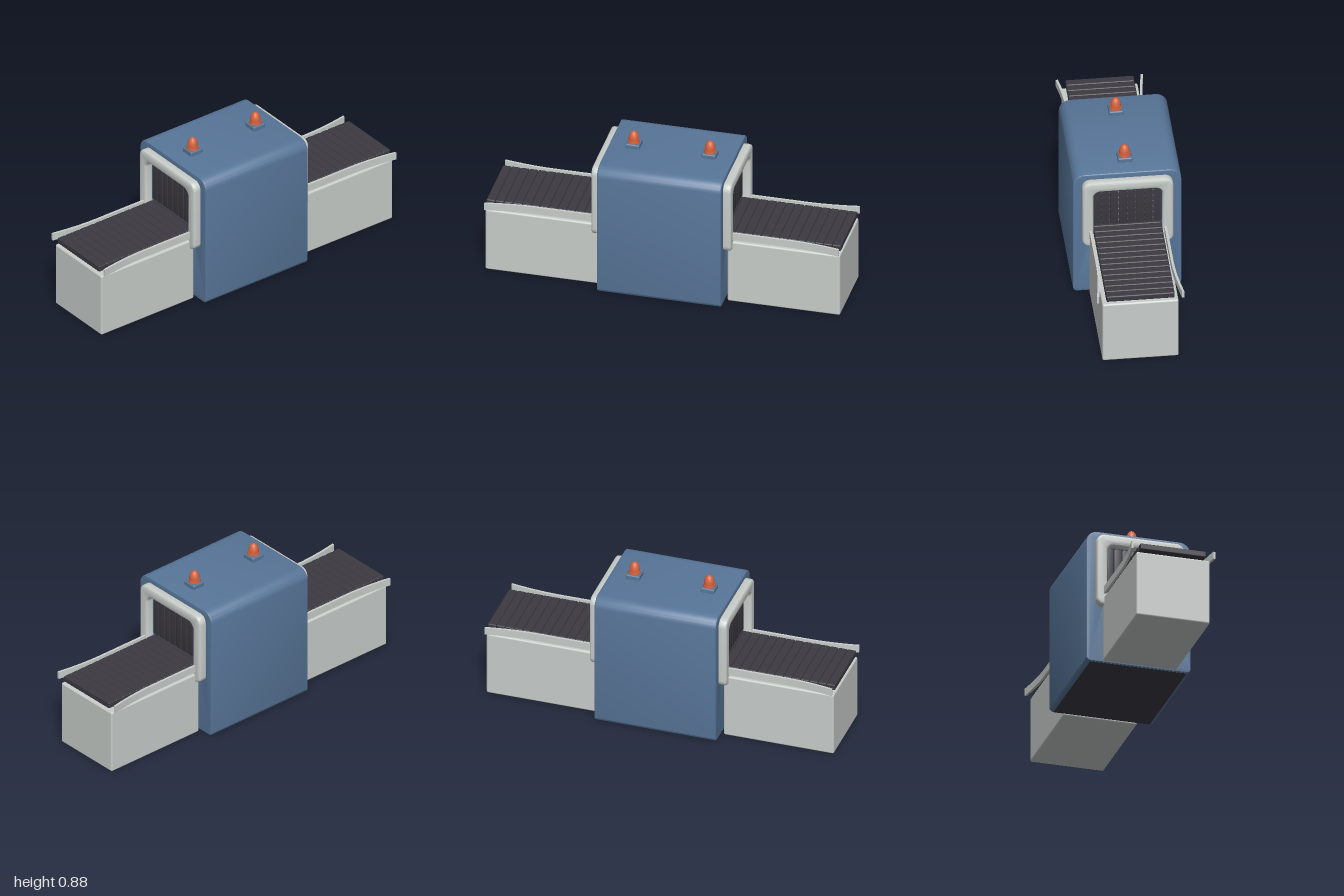
import * as THREE from 'three';
import { toCreasedNormals } from 'three/addons/utils/BufferGeometryUtils.js';
import { RoundedBoxGeometry } from 'three/addons/geometries/RoundedBoxGeometry.js';

const material = (name, color) => {
  const m = new THREE.MeshStandardMaterial({ color });
  m.name = name;
  return m;
};

// Rounded rectangle with separate top and bottom corner radii
function roundedRect(half, y0, y1, rTop, rBottom, Type = THREE.Shape) {
  const s = new Type();
  s.moveTo(-half + rBottom, y0);
  s.lineTo(half - rBottom, y0);
  s.absarc(half - rBottom, y0 + rBottom, rBottom, -Math.PI / 2, 0, false);
  s.lineTo(half, y1 - rTop);
  s.absarc(half - rTop, y1 - rTop, rTop, 0, Math.PI / 2, false);
  s.lineTo(-half + rTop, y1);
  s.absarc(-half + rTop, y1 - rTop, rTop, Math.PI / 2, Math.PI, false);
  s.lineTo(-half, y0 + rBottom);
  s.absarc(-half + rBottom, y0 + rBottom, rBottom, Math.PI, Math.PI * 1.5, false);
  return s;
}

// Extrudes a (z, y) outline along x from x0 to x1, with an inset bevel
function extrudeX(shape, x0, x1, bevel) {
  const g = new THREE.ExtrudeGeometry(shape, {
    depth: x1 - x0 - 2 * bevel, curveSegments: 6, bevelEnabled: true,
    bevelThickness: bevel, bevelSize: bevel, bevelOffset: -bevel, bevelSegments: 3,
  });
  g.translate(0, 0, x0 + bevel).rotateY(Math.PI / 2);
  return toCreasedNormals(g, 0.65);
}

export function createModel() {
  const blue = material('blue housing', 0x587699);
  const grey = material('light grey panel', 0xc8cdca);
  const dark = material('dark rubber', 0x3c3a41);
  const orange = material('orange lamp', 0xd5623c);

  const model = new THREE.Group();
  model.name = 'baggageScanner';
  const add = (name, geometry, mat, x = 0, y = 0, z = 0, parent = model) => {
    const mesh = new THREE.Mesh(geometry, mat);
    mesh.name = name;
    mesh.position.set(x, y, z);
    parent.add(mesh);
    return mesh;
  };

  const tunnel = () => roundedRect(0.19, 0.39, 0.695, 0.04, 0.03, THREE.Path);

  // Housing with the tunnel cut through it, and its dark underside
  const body = roundedRect(0.298, 0.001, 0.785, 0.065, 0.025);
  body.holes.push(tunnel());
  add('housing', extrudeX(body, -0.35, 0.35, 0.006), blue);
  add('underside', new THREE.BoxGeometry(0.69, 0.004, 0.55), dark, 0, 0.002, 0);

  // Conveyor slats running through the tunnel
  const belt = new THREE.Group();
  belt.name = 'conveyorBelt';
  model.add(belt);
  const slat = new RoundedBoxGeometry(0.0495, 0.036, 0.376, 2, 0.007);
  for (let i = 0; i < 40; i++) {
    add('beltSlat', slat, dark, -0.975 + i * 0.05, 0.415, 0, belt);
  }

  // Side rail outline, flaring outwards towards the end
  const rail = new THREE.Shape();
  rail.moveTo(0.36, 0.199);
  rail.lineTo(0.72, 0.199);
  rail.quadraticCurveTo(0.85, 0.2, 1, 0.228);
  rail.lineTo(1, 0.241);
  rail.quadraticCurveTo(0.85, 0.214, 0.72, 0.213);
  rail.lineTo(0.36, 0.213);
  const railGeometry = toCreasedNormals(new THREE.ExtrudeGeometry(rail, {
    depth: 0.042, curveSegments: 10, bevelEnabled: false,
  }).rotateX(Math.PI / 2), 0.5);

  // Opening frame outline
  const frame = roundedRect(0.25, 0.33, 0.755, 0.045, 0.04);
  frame.holes.push(tunnel());
  const frameGeometry = extrudeX(frame, 0.34, 0.395, 0.014);

  const stand = new RoundedBoxGeometry(0.635, 0.38, 0.42, 3, 0.01);
  const strip = new RoundedBoxGeometry(0.01, 0.25, 0.0435, 3, 0.0049);
  const stripShape = extrudeX(roundedRect(0.0217, 0.443, 0.693, 0.01, 0.01), 0.34, 0.35, 0.002);
  strip.dispose();

  // Lamp dome profile
  const dome = [[0.029, 0], [0.029, 0.012], [0.027, 0.026], [0.022, 0.04],
    [0.015, 0.05], [0.007, 0.055], [0, 0.056]].map(([r, y]) => new THREE.Vector2(r, y));
  const domeGeometry = new THREE.LatheGeometry(dome, 24);

  // Both ends are the same, turned half a circle
  for (const [side, angle] of [['left', 0], ['right', Math.PI]]) {
    const end = new THREE.Group();
    end.name = side + 'End';
    end.rotation.y = angle;
    model.add(end);

    add('conveyorStand', stand, grey, 0.6825, 0.19, 0, end);
    add('openingFrame', frameGeometry, grey, 0, 0, 0, end);

    // Hanging curtain strips
    for (let i = 0; i < 8; i++) {
      add('curtainStrip', stripShape, dark, 0, 0, (i - 3.5) * 0.0474, end);
    }

    // Rails on both sides of the belt; the far one is turned over
    add('sideRail', railGeometry, grey, 0, 0.437, 0, end);
    add('sideRail', railGeometry, grey, 0, 0.395, 0, end).rotation.x = Math.PI;

    // Warning lamp on the roof
    const lamp = new THREE.Group();
    lamp.name = 'warningLamp';
    lamp.position.set(0.215, 0.78, 0);
    end.add(lamp);
    add('lampBase', new RoundedBoxGeometry(0.08, 0.03, 0.08, 3, 0.008), blue, 0, 0.015, 0, lamp);
    add('lampCollar', new THREE.CylinderGeometry(0.032, 0.034, 0.014, 24), orange, 0, 0.035, 0, lamp);
    add('lampDome', domeGeometry, orange, 0, 0.041, 0, lamp);
  }

  return model;
}
